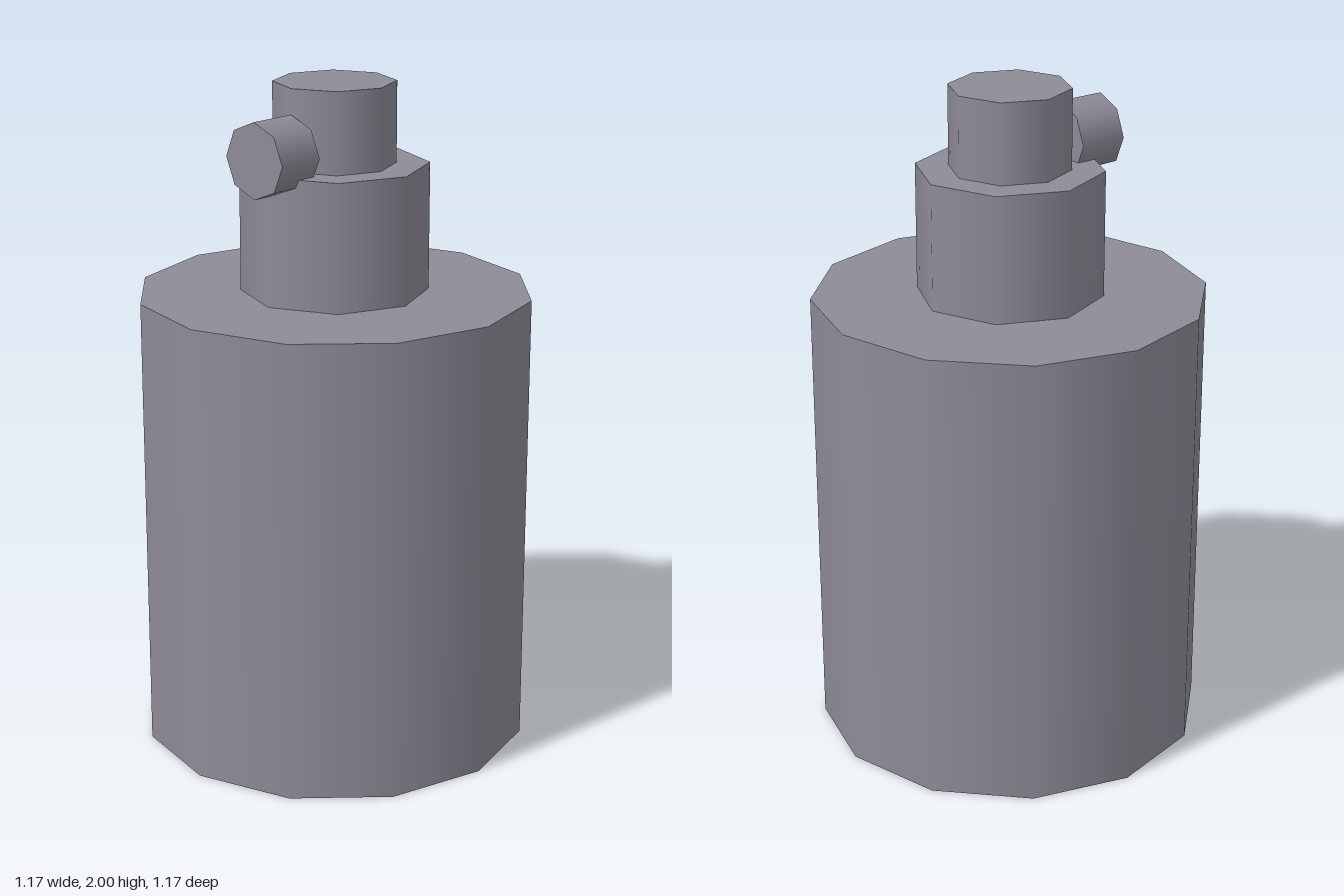
import * as THREE from 'three';

export function createModel() {
  const model = new THREE.Group();
  model.name = 'bottle';
  const grey = new THREE.MeshStandardMaterial({ color: 0x8e8b97 });
  grey.name = 'grey';

  // Smooth-sided cylinder with few sides
  const addCylinder = (name, radius, length, sides) => {
    const mesh = new THREE.Mesh(new THREE.CylinderGeometry(radius, radius, length, sides), grey);
    mesh.name = name;
    model.add(mesh);
    return mesh;
  };

  // Stacked upright parts: name, radius, bottom, top, sides
  const stack = [
    ['body', 0.587, 0, 1.38, 12],
    ['neck', 0.278, 1.38, 1.76, 8],
    ['cap', 0.18, 1.76, 2, 8],
  ];
  for (const [name, radius, bottom, top, sides] of stack) {
    addCylinder(name, radius, top - bottom, sides).position.y = (bottom + top) / 2;
  }

  // Short nozzle pointing sideways from the cap
  const nozzle = addCylinder('nozzle', 0.111, 0.15, 8);
  nozzle.rotation.z = Math.PI / 2;
  nozzle.position.set(-0.256, 1.815, 0);

  return model;
}
